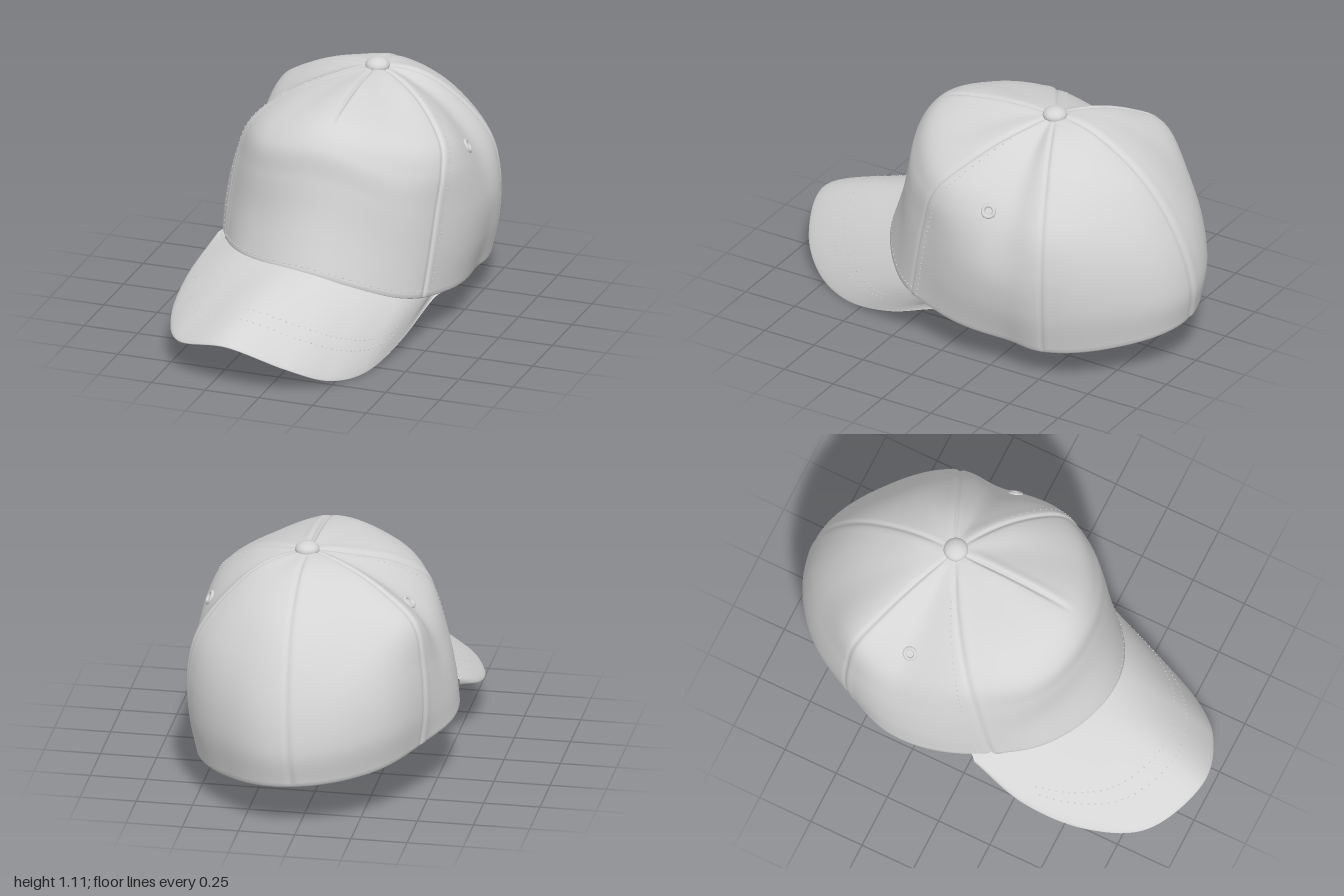
import * as THREE from 'three';
import { mergeGeometries } from 'three/addons/utils/BufferGeometryUtils.js';

const TOP = { x: 0.06, y: 1.07, z: -0.32 };

// Meridians of the crown, from the front round by +x: angle, then [radius, height] from rim to top
const ANGLES = [90, 60, 35, 0, -24, -58, -90, -125, -155, -180, -215, -242];
const PROFILES = [
  [[0.80, 0.38], [0.725, 0.6], [0.68, 0.78], [0.645, 0.92], [0.53, 1.015], [0.27, 1.065]],
  [[0.69, 0.25], [0.67, 0.45], [0.65, 0.65], [0.62, 0.8], [0.53, 0.93], [0.27, 1.03]],
  [[0.56, 0.2], [0.58, 0.4], [0.58, 0.6], [0.565, 0.77], [0.49, 0.89], [0.27, 1.02]],
  [[0.46, 0.17], [0.51, 0.35], [0.52, 0.53], [0.46, 0.73], [0.34, 0.89], [0.18, 1.01]],
  [[0.50, 0.16], [0.54, 0.35], [0.545, 0.55], [0.50, 0.73], [0.37, 0.90], [0.2, 1.03]],
  [[0.56, 0.18], [0.59, 0.37], [0.57, 0.57], [0.50, 0.75], [0.37, 0.92], [0.19, 1.035]],
  [[0.66, 0.22], [0.68, 0.38], [0.635, 0.58], [0.53, 0.78], [0.39, 0.93], [0.19, 1.045]],
  [[0.63, 0.25], [0.655, 0.42], [0.62, 0.62], [0.53, 0.79], [0.38, 0.94], [0.19, 1.045]],
  [[0.60, 0.29], [0.62, 0.45], [0.61, 0.65], [0.565, 0.85], [0.41, 0.96], [0.21, 1.04]],
  [[0.645, 0.32], [0.635, 0.45], [0.60, 0.6], [0.53, 0.76], [0.39, 0.9], [0.2, 1.01]],
  [[0.69, 0.345], [0.67, 0.5], [0.63, 0.7], [0.57, 0.86], [0.43, 0.965], [0.24, 1.03]],
  [[0.77, 0.375], [0.71, 0.57], [0.68, 0.75], [0.64, 0.89], [0.5, 0.99], [0.26, 1.045]],
];
const N = ANGLES.length;

// Seams: meridian at the rim, meridian at the top, lowest level reached, depth
const SEAMS = [
  [0, 0, 3.6, 0.016], [1.36, 2.3, -1, 0.009], [4, 4, -1, 0.008],
  [6.1, 5.9, -1, 0.008], [8, 8, -1, 0.008], [10.15, 9.7, -1, 0.009],
];

const spline = (a, b, c, d, f) =>
  0.5 * (2 * b + (c - a) * f + (2 * a - 5 * b + 4 * c - d) * f * f + (3 * b - a - 3 * c + d) * f ** 3);

function sample(get, t) {
  const i = Math.floor(t);
  return spline(get(i - 1), get(i), get(i + 1), get(i + 2), t - i);
}

const angleAt = i => ANGLES[((i % N) + N) % N] - 360 * Math.floor(i / N);

// Profile value k at level j (0 rim, 6 top), continued past both ends
function level(i, j, k) {
  const p = PROFILES[((i % N) + N) % N];
  if (j < 0) return 2 * p[0][k] - p[1][k];
  if (j < 6) return p[j][k];
  if (j === 6) return k ? TOP.y : 0;
  return k ? p[12 - j][1] : -p[12 - j][0];
}

// Point of the crown at meridian u and level t, inset for the lining
function crownPoint(u, t, inset = 0) {
  const value = k => sample(i => sample(j => level(i, j, k), t), u);
  const a = THREE.MathUtils.degToRad(sample(angleAt, u));
  let r = value(0), y = value(1);
  if (!inset) {
    for (const [low, high, end, depth] of SEAMS) {
      const s = THREE.MathUtils.lerp(low, high, t / 6);
      let du = u - s;
      du -= N * Math.round(du / N);
      const width = du * 0.5 * r;
      const fade = THREE.MathUtils.smoothstep(t, end, end + 1) * Math.min(1, r / 0.15);
      const groove = depth * fade * (Math.exp(-((width / 0.009) ** 2)) - 0.35 * Math.exp(-(((width - 0.025) / 0.02) ** 2)));
      r -= groove * (1 - t / 8);
      y -= groove * t / 6;
    }
  }
  r *= 1 - inset / 0.6;
  y -= inset * t / 6;
  return new THREE.Vector3(TOP.x + r * Math.cos(a), y, TOP.z + r * Math.sin(a));
}

// Smooth surface over a grid of points; columns may close into a ring
function surface(columns, rows, closed, pointAt) {
  const positions = [], index = [];
  const count = closed ? columns : columns + 1;
  for (let j = 0; j <= rows; j++)
    for (let i = 0; i < count; i++) positions.push(...pointAt(i / columns, j).toArray());
  for (let j = 0; j < rows; j++)
    for (let i = 0; i < columns; i++) {
      const n = (i + 1) % count;
      const a = j * count + i, b = j * count + n, c = a + count, d = b + count;
      index.push(a, c, b, b, c, d);
    }
  const g = new THREE.BufferGeometry();
  g.setAttribute('position', new THREE.Float32BufferAttribute(positions, 3));
  g.setIndex(index);
  g.computeVertexNormals();
  return g;
}

// Outer edge of the drooping, twisted brim
const BRIM_EDGE = new THREE.CatmullRomCurve3([
  [-0.54, 0.325, 0.07], [-0.585, 0.225, 0.33], [-0.55, 0.16, 0.62], [-0.43, 0.155, 0.86], [-0.15, 0.215, 0.995],
  [0.1, 0.115, 0.92], [0.24, 0.03, 0.78], [0.335, 0.004, 0.59], [0.405, 0.06, 0.33], [0.47, 0.2, 0.04],
].map(p => new THREE.Vector3(...p)));

function brimPoint(s, v) {
  const inner = crownPoint(THREE.MathUtils.lerp(9.9, 13.88, s), 0, 0.02);
  const p = inner.lerp(BRIM_EDGE.getPoint(s), v);
  p.y += 0.014 * Math.sin(Math.PI * v) * Math.sin(Math.PI * s);
  return p;
}

// Row of small thread bumps
function stitches(count, pointAt) {
  const bumps = [];
  for (let i = 0; i < count; i++) {
    const p = pointAt((i + 0.5) / count);
    bumps.push(new THREE.IcosahedronGeometry(0.0035, 1).translate(p.x, p.y, p.z));
  }
  return mergeGeometries(bumps);
}

export function createModel() {
  const cap = new THREE.Group();
  cap.name = 'baseballCap';
  const cloth = new THREE.MeshStandardMaterial({ color: 0xd4d4d4 });
  cloth.name = 'light grey cloth';
  const add = (name, geometry) => {
    const mesh = new THREE.Mesh(geometry, cloth);
    mesh.name = name;
    cap.add(mesh);
    return mesh;
  };

  // Crown: outside down to the rim, rounded hem, then the lining back up
  const OUT = 64, HEM = 6, IN = 24;
  add('crown', surface(420, OUT + HEM + IN, true, (f, j) => {
    const u = f * N;
    if (j <= OUT) return crownPoint(u, 6 * (1 - j / OUT));
    if (j <= OUT + HEM) {
      const k = (j - OUT) / HEM;
      const p = crownPoint(u, 0, 0.045 * k);
      p.y -= 0.014 * Math.sin(Math.PI * k);
      return p;
    }
    return crownPoint(u, 6 * (j - OUT - HEM) / IN, 0.045);
  }));

  // Brim: top face, rounded edge and underside in one section
  const HALF = 24;
  add('brim', surface(120, HALF * 2, false, (s, j) => {
    const side = j <= HALF ? 1 : -1;
    const k = j <= HALF ? j / HALF : 2 - j / HALF;
    const v = Math.sin(k * Math.PI / 2);
    const p = brimPoint(s, v);
    p.y += side * 0.016 * Math.sqrt(Math.max(0, 1 - v ** 10));
    return p;
  }));

  // Button on top
  const button = add('button', new THREE.SphereGeometry(0.054, 32, 20));
  button.scale.y = 0.65;
  button.position.set(0.067, 1.072, TOP.z);

  // Ventilation eyelets, lying on the side panels
  for (const [name, u, t] of [['leftEyelet', 2.73, 3.25], ['rightEyelet', 9, 3.65]]) {
    const p = crownPoint(u, t);
    const along = crownPoint(u + 0.05, t).sub(p);
    const up = crownPoint(u, t + 0.05).sub(p);
    const eyelet = add(name, new THREE.TorusGeometry(0.025, 0.009, 10, 28));
    eyelet.position.copy(p);
    eyelet.quaternion.setFromUnitVectors(new THREE.Vector3(0, 0, 1), along.cross(up).normalize());
  }

  // Stitching beside the front seams, above the brim and across the brim
  for (const [name, seam, shift] of [['leftSeamStitches', SEAMS[1], 0.16], ['rightSeamStitches', SEAMS[5], -0.16]])
    add(name, stitches(34, f => crownPoint(THREE.MathUtils.lerp(seam[0], seam[1], f * 0.85) + shift, f * 5.1)));
  add('brimSeamStitches', stitches(44, f => crownPoint(10.1 + 3.3 * f, 0.13)));
  for (const v of [0.6, 0.72])
    add('brimStitches', stitches(50, f => {
      const p = brimPoint(0.15 + 0.7 * f, v);
      p.y += 0.015;
      return p;
    }));
  return cap;
}
